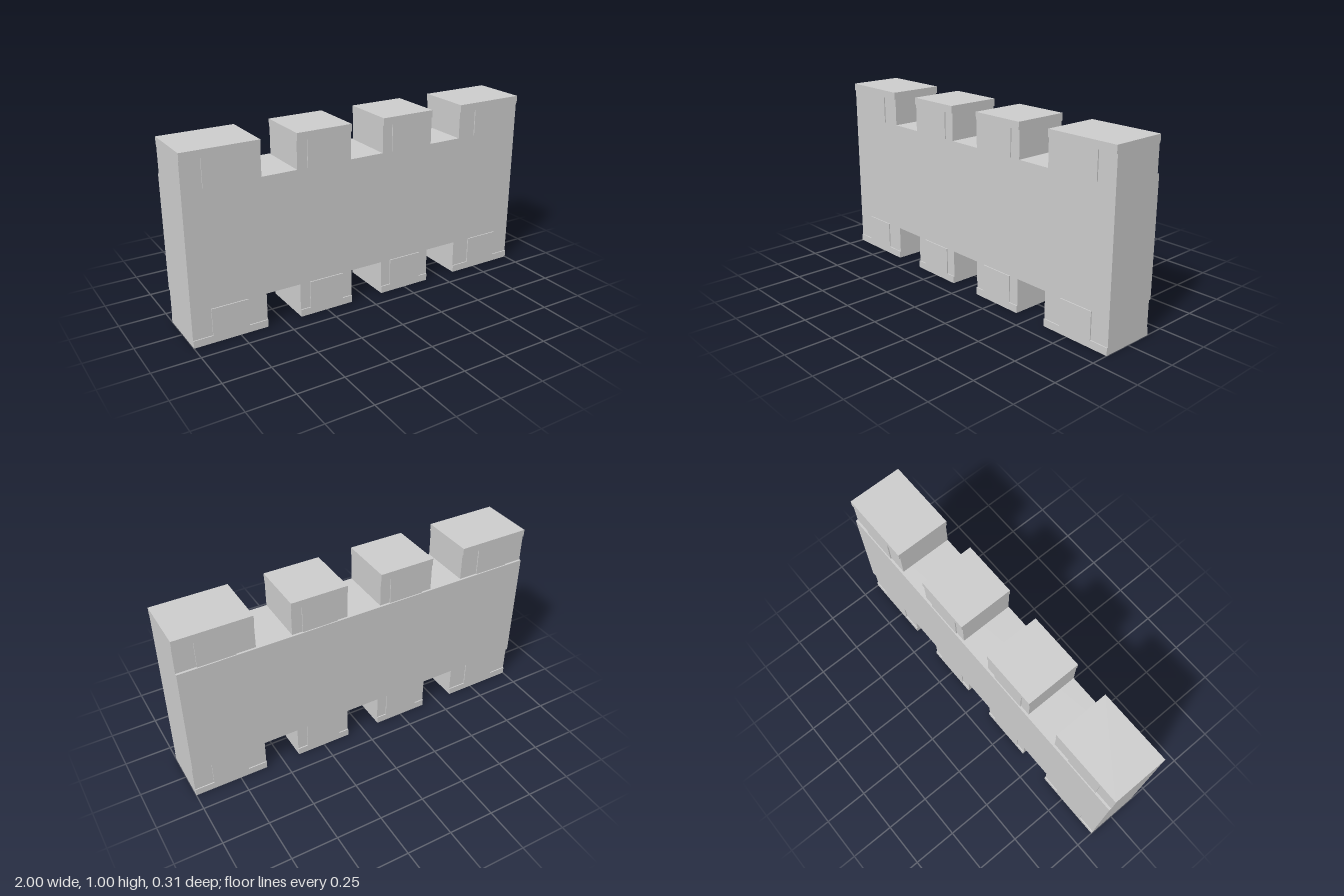
import * as THREE from 'three';

const material = new THREE.MeshStandardMaterial({ color: 0xcccccc, flatShading: true });

// Box given by its minimum and maximum on each axis
function box(name, [x0, x1], [y0, y1], [z0, z1]) {
  const geometry = new THREE.BoxGeometry(x1 - x0, y1 - y0, z1 - z0);
  geometry.translate((x0 + x1) / 2, (y0 + y1) / 2, (z0 + z1) / 2);
  const mesh = new THREE.Mesh(geometry, material);
  mesh.name = name;
  return mesh;
}

// T-shaped block: full-width cap over a narrower stem, slightly proud of the core
function capAndStem(width, y0, capY, y1, z0, z1) {
  const w = width / 2, s = 0.098;
  const shape = new THREE.Shape([
    [-s, y0], [s, y0], [s, capY], [w, capY], [w, y1], [-w, y1], [-w, capY], [-s, capY],
  ].map(([x, y]) => new THREE.Vector2(x, y)));
  const geometry = new THREE.ExtrudeGeometry(shape, { depth: z1 - z0, bevelEnabled: false });
  geometry.translate(0, 0, z0);
  const mesh = new THREE.Mesh(geometry, material);
  mesh.name = 'toothCap';
  return mesh;
}

// One upright tooth, centred on x = 0, heights measured from the slab's middle
function tooth(width) {
  const root = 0.3125, capY = 0.46, top = 0.5;
  const group = new THREE.Group();
  group.add(
    box('toothCore', [-width / 2, width / 2], [root, capY], [-0.143, 0.15]),
    capAndStem(width, root, capY, top, -0.149, 0.156),
  );
  return group;
}

export function createModel() {
  const model = new THREE.Group();
  model.name = 'notchedBlock';

  // Central slab
  model.add(box('slab', [-1, 1], [0.1875, 0.8125], [-0.155, 0.15]));

  // Teeth along the top and, turned over, along the bottom
  const spans = [[-1, -0.597], [-0.405, -0.096], [0.096, 0.405], [0.597, 1]];
  for (const [x0, x1] of spans) {
    for (const up of [true, false]) {
      const t = tooth(x1 - x0);
      t.name = up ? 'topTooth' : 'bottomTooth';
      t.position.set((x0 + x1) / 2, 0.5, 0);
      if (!up) t.rotation.z = Math.PI;
      model.add(t);
    }
  }
  return model;
}
